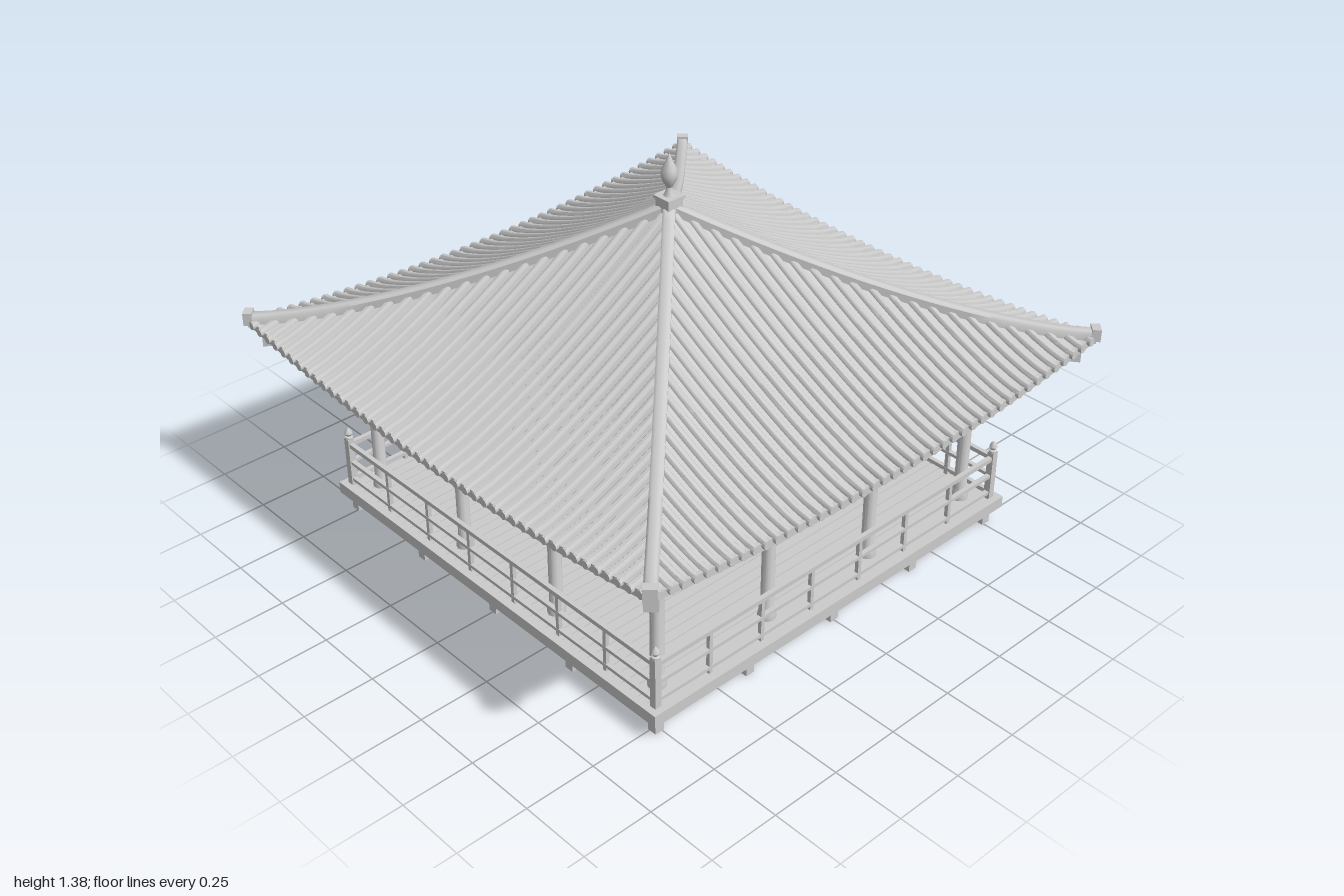
import * as THREE from 'three';
import { mergeGeometries, toCreasedNormals } from 'three/addons/utils/BufferGeometryUtils.js';
import { ParametricGeometry } from 'three/addons/geometries/ParametricGeometry.js';

const EAVE = 0.975;
const V = (x, y, z) => new THREE.Vector3(x, y, z);

// Roof height at distance r from the centre and s sideways along the face
const hipHeight = r => 0.748 + 0.442 * Math.pow(Math.max(0, 1 - r / EAVE), 1.5);
const roofY = (s, r) => {
  const t = r / EAVE, k = s / r;
  return hipHeight(r) - 0.07 * t * t * (1 - k * k);
};

// Sweep a convex profile [[side, up], ...] (counterclockwise) along a path
function sweep(path, profile) {
  const dir = path[path.length - 1].clone().sub(path[0]);
  const side = V(dir.z, 0, -dir.x).normalize();
  const n = profile.length, pos = [], idx = [];
  for (const p of path) for (const [a, b] of profile) pos.push(p.x + side.x * a, p.y + b, p.z + side.z * a);
  for (let i = 0; i < path.length - 1; i++) for (let j = 0; j < n; j++) {
    const a = i * n + j, b = i * n + (j + 1) % n;
    idx.push(a, b, a + n, b, b + n, a + n);
  }
  const e = (path.length - 1) * n;
  for (let j = 1; j < n - 1; j++) idx.push(0, j + 1, j, e, e + j, e + j + 1);
  const g = new THREE.BufferGeometry();
  g.setAttribute('position', new THREE.Float32BufferAttribute(pos, 3));
  g.setIndex(idx);
  return toCreasedNormals(g, 0.8);
}
const rect = (w, lo, hi) => [[-w, lo], [w, lo], [w, hi], [-w, hi]];
const line = (n, f) => Array.from({ length: n + 1 }, (_, i) => f(i / n));
const box = (w, h, d, x, y, z) => new THREE.BoxGeometry(w, h, d).translate(x, y, z);
const lathe = (pts, seg, x = 0, y = 0, z = 0) =>
  toCreasedNormals(new THREE.LatheGeometry(pts.map(p => new THREE.Vector2(...p)), seg), 0.6).translate(x, y, z);

// Bring any geometry to plain positions and normals so that parts can be merged
const plain = g => (g.index ? g.toNonIndexed() : g.clone()).deleteAttribute('uv');

export function createModel() {
  const model = new THREE.Group();
  model.name = 'pavilion';
  const grey = new THREE.MeshStandardMaterial({ color: 0xcccccc });
  const thin = new THREE.MeshStandardMaterial({ color: 0xcccccc, side: THREE.DoubleSide });
  const add = (name, geos, mat = grey) => {
    const mesh = new THREE.Mesh(mergeGeometries(geos.map(plain)), mat);
    mesh.name = name;
    model.add(mesh);
    return mesh;
  };
  // Same part on all four sides, modelled facing +z
  const four = (name, geos, mat) => {
    for (let k = 0; k < 4; k++) add(name + (k + 1), geos, mat).rotation.y = k * Math.PI / 2;
  };

  // Footings, joists and floor
  const grid = [-0.76, -0.38, 0, 0.38, 0.76], feet = [], joists = [], planks = [];
  for (const z of grid) {
    joists.push(box(1.58, 0.025, 0.03, 0, 0.0575, z));
    for (const x of grid) feet.push(box(0.034, 0.05, 0.034, x, 0.025, z));
  }
  add('footings', feet);
  add('joists', joists);
  for (let i = 0; i < 40; i++) planks.push(box(0.036, 0.03, 1.57, -0.7605 + i * 0.039, 0.087, 0));
  add('floorPlanks', planks);
  four('floorEdge', [box(1.61, 0.042, 0.025, 0, 0.084, 0.7925)]);

  // Back steps with side boards
  const outline = new THREE.Shape([[0.805, 0], [0.94, 0], [0.94, 0.04], [0.805, 0.105]].map(p => new THREE.Vector2(...p)));
  add('stepSides', [-0.215, 0.197].map(x => new THREE.ExtrudeGeometry(outline, { depth: 0.018, bevelEnabled: false })
    .rotateY(Math.PI / 2).translate(x, 0, 0)));
  add('steps', [0, 1, 2].map(i => box(0.4, 0.078 - i * 0.024, 0.04, 0, 0.039 - i * 0.012, -0.825 - i * 0.04)));

  // Columns with bases and capitals
  four('columns', [-0.7, -0.233, 0.233].flatMap(x => [
    lathe([[0, 0.1], [0.03, 0.1], [0.03, 0.115], [0.026, 0.135], [0.022, 0.145], [0.022, 0.64], [0, 0.64]], 16, x, 0, 0.7),
    box(0.06, 0.022, 0.06, x, 0.65, 0.7),
  ]));

  // Beams with a battened frieze between
  const frieze = [box(1.4, 0.105, 0.012, 0, 0.605, 0.7)];
  for (let i = -11; i <= 11; i++) frieze.push(box(0.034, 0.105, 0.024, i * 0.06, 0.605, 0.7));
  four('frieze', frieze);
  four('lowerBeam', [box(1.5, 0.027, 0.034, 0, 0.541, 0.7)]);
  four('upperBeam', [box(1.5, 0.03, 0.04, 0, 0.668, 0.7)]);

  // Railing: full on three sides, open for the steps at the back
  const rails = (x0, x1, spans) => {
    const w = x1 - x0;
    const out = [[0.265, 0.016], [0.195, 0.012], [0.127, 0.012]].map(([y, h]) => box(w, h, 0.016, (x0 + x1) / 2, y, 0.77));
    for (let i = 1; i < spans; i++) out.push(box(0.014, 0.16, 0.014, x0 + w * i / spans, 0.185, 0.77));
    return out;
  };
  for (let k = 0; k < 4; k++) {
    const geos = k === 2 ? [...rails(-0.77, -0.215, 3), ...rails(0.215, 0.77, 3)] : rails(-0.77, 0.77, 7);
    add('railing' + (k + 1), geos).rotation.y = k * Math.PI / 2;
  }
  four('cornerPost', [
    box(0.024, 0.19, 0.024, 0.77, 0.195, 0.77),
    lathe([[0, 0.288], [0.014, 0.288], [0.014, 0.296], [0.008, 0.3], [0.014, 0.31], [0.011, 0.32], [0, 0.333]], 10, 0.77, 0, 0.77),
  ]);

  // Entrance posts carrying small lanterns
  for (const side of [-1, 1]) {
    add(side > 0 ? 'leftLanternPost' : 'rightLanternPost', [
      box(0.024, 0.235, 0.024, side * 0.215, 0.2175, -0.77),
      box(0.04, 0.075, 0.04, side * 0.215, 0.37, -0.77),
      new THREE.ConeGeometry(0.032, 0.018, 4).rotateY(Math.PI / 4).translate(side * 0.215, 0.415, -0.77),
      new THREE.SphereGeometry(0.008, 8, 6).translate(side * 0.215, 0.425, -0.77),
    ]);
  }

  // Round hanging lantern below a cross beam
  add('hangingLantern', [lathe([[0, 0.41], [0.046, 0.41], [0.046, 0.425], [0.054, 0.428], [0.06, 0.445], [0.066, 0.47],
    [0.066, 0.478], [0.069, 0.48], [0.069, 0.525], [0.06, 0.55], [0.03, 0.575], [0.008, 0.58], [0.008, 0.64], [0, 0.64]], 24)]);
  add('crossBeam', [box(1.4, 0.035, 0.04, 0, 0.645, 0)]);

  // Curved roof faces: upper skin, underside and eave board
  const skin = drop => new ParametricGeometry((u, v, p) => {
    const r = Math.max(v, 0.001) * EAVE * 0.995, s = r * (2 * u - 1);
    p.set(s, roofY(s, r) - drop, r);
  }, 24, 18);
  four('roofFace', [skin(0), skin(0.022)], thin);
  four('eaveBoard', [sweep(line(24, t => {
    const s = (2 * t - 1) * 0.965;
    return V(s, roofY(s, 0.965), 0.965);
  }), rect(0.008, -0.026, 0.002))]);

  // Rows of roll tiles, from the hip down to the eave, each with a round end cap
  const roll = [[-0.013, -0.004], [0.013, -0.004], [0.012, 0.007], [0.006, 0.014], [-0.006, 0.014], [-0.012, 0.007]];
  const disc = line(7, t => [0.0145 * Math.cos(t * 5.5), 0.0145 * Math.sin(t * 5.5)]);
  const tiles = [];
  for (let i = -21; i <= 21; i++) {
    const s = i * 0.045, top = Math.max(Math.abs(s), 0.02), end = roofY(s, EAVE);
    tiles.push(sweep(line(12, t => {
      const r = top + (0.982 - top) * t;
      return V(s, roofY(s, Math.min(r, EAVE)), r);
    }), roll));
    tiles.push(sweep([V(s, end, 0.974), V(s, end, 0.986)], disc));
  }
  four('rollTiles', tiles);

  // Hip ridges with end blocks, and hip rafters beneath
  four('hipRidge', [
    sweep(line(20, t => V(t * EAVE, hipHeight(t * EAVE), t * EAVE)),
      [[-0.02, -0.015], [0.02, -0.015], [0.02, 0.02], [0.012, 0.028], [-0.012, 0.028], [-0.02, 0.02]]),
    new THREE.BoxGeometry(0.042, 0.045, 0.03).rotateY(Math.PI / 4).translate(0.9745, 0.763, 0.9745),
  ]);
  four('hipRafter', [sweep([V(0.66, 0.72, 0.66), V(0.945, 0.685, 0.945)], rect(0.022, -0.022, 0.03))]);

  // Common rafters under the eaves
  const rafters = [];
  for (let i = -12; i <= 12; i++) {
    const s = i * 0.06;
    rafters.push(sweep(line(4, t => {
      const r = 0.68 + 0.25 * t;
      return V(s, Math.min(roofY(s, Math.max(r, Math.abs(s))), 0.73) - 0.022, r);
    }), rect(0.011, -0.022, 0.004)));
  }
  four('rafters', rafters);

  // Crowning block and bud finial
  add('crownBlock', [box(0.062, 0.06, 0.062, 0, 1.2, 0), box(0.072, 0.01, 0.072, 0, 1.232, 0)]);
  add('finial', [lathe([[0, 1.23], [0.02, 1.235], [0.012, 1.25], [0.009, 1.265], [0.015, 1.275], [0.024, 1.29],
    [0.028, 1.31], [0.024, 1.33], [0.013, 1.352], [0.005, 1.37], [0, 1.383]], 16)]);
  return model;
}
